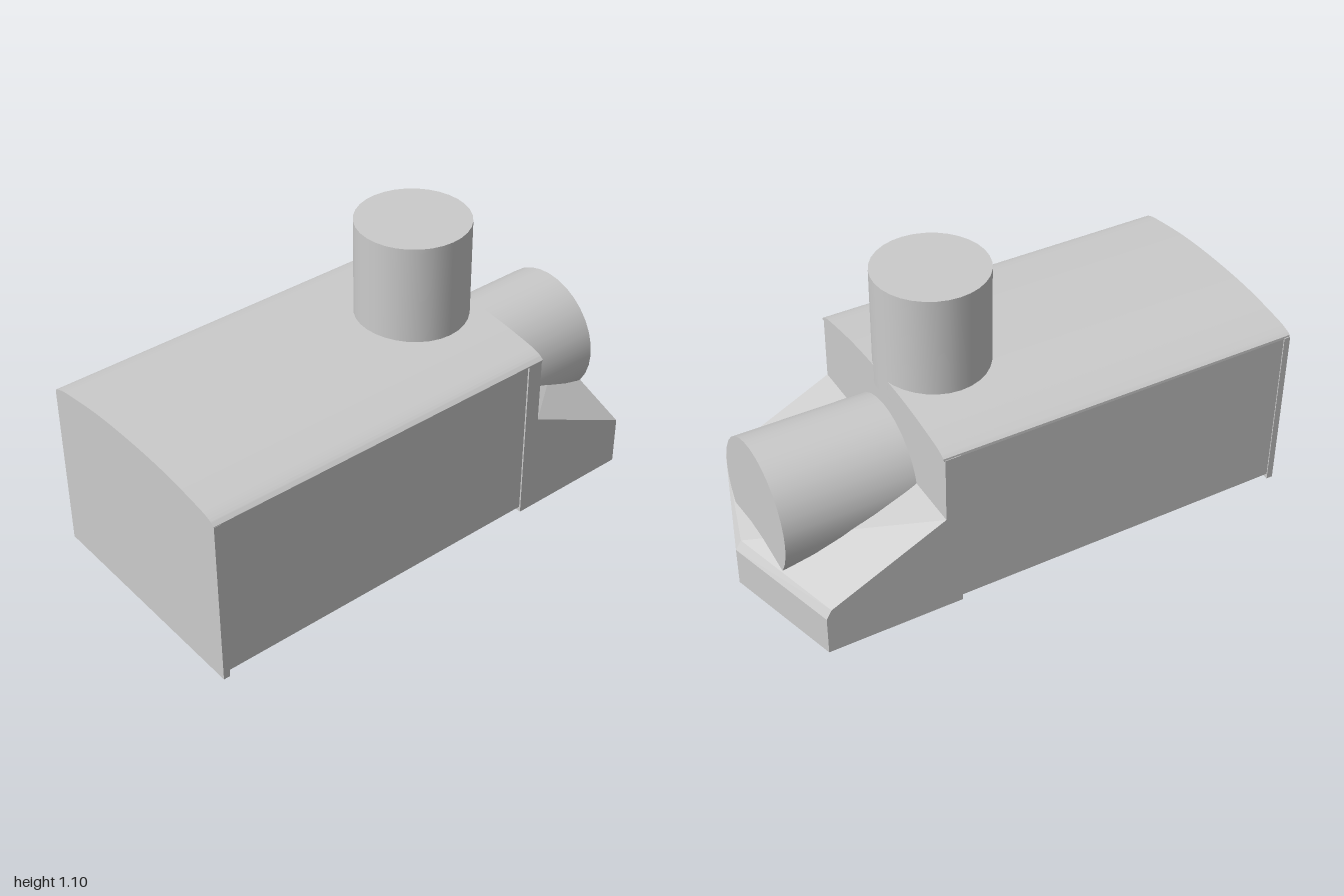
import * as THREE from 'three';
import { toCreasedNormals } from 'three/addons/utils/BufferGeometryUtils.js';
import { ConvexGeometry } from 'three/addons/geometries/ConvexGeometry.js';

const grey = new THREE.MeshStandardMaterial({ color: 0xcccccc });

export function createModel() {
  const group = new THREE.Group();
  const add = (name, geometry, x = 0, y = 0, z = 0) => {
    const mesh = new THREE.Mesh(geometry, grey);
    mesh.name = name;
    mesh.position.set(x, y, z);
    group.add(mesh);
    return mesh;
  };

  // Box given by its limits on each axis
  const block = (name, x0, x1, y0, y1, z0, z1) =>
    add(name, new THREE.BoxGeometry(x1 - x0, y1 - y0, z1 - z0),
      (x0 + x1) / 2, (y0 + y1) / 2, (z0 + z1) / 2);

  // Hull: recessed middle between a front plate and a rear slab
  block('body', -0.464, 0.459, 0.02, 0.658, -0.35, 0.975);
  block('frontPlate', -0.468, 0.466, 0, 0.658, 0.975, 1);
  block('rearSlab', -0.467, 0.465, 0, 0.658, -0.41, -0.35);

  // Bowed roof with tighter curves at its edges
  const roof = new THREE.Shape();
  roof.moveTo(-0.465, 0.655);
  roof.lineTo(-0.464, 0.665);
  roof.splineThru([[-0.44, 0.676], [-0.38, 0.69], [-0.2, 0.713], [0, 0.72],
    [0.2, 0.713], [0.38, 0.69], [0.44, 0.676], [0.465, 0.66]]
    .map(([x, y]) => new THREE.Vector2(x, y)));
  roof.lineTo(0.465, 0.655);
  roof.closePath();
  const roofGeometry = new THREE.ExtrudeGeometry(roof,
    { depth: 1.415, bevelEnabled: false, curveSegments: 32 });
  add('roof', toCreasedNormals(roofGeometry, 0.5), 0, 0, -0.415);

  // Sloping pointed nose; its edge bevel fades out toward the left side
  const nose = [
    [-0.467, 0, -0.4], [0.465, 0, -0.4], [-0.467, 0.4, -0.41], [0.465, 0.4, -0.41],
    [-0.467, 0, -0.87], [-0.467, 0.155, -0.87], [-0.467, 0.19, -0.85],
    [0, 0, -1], [0, 0.155, -1], [0, 0.19, -0.978],
    [0.465, 0, -0.84], [0.465, 0.19, -0.84],
  ];
  add('nose', new ConvexGeometry(nose.map((p) => new THREE.Vector3(...p))));

  // Upright cylinder on the roof and level cylinder over the nose
  add('stack', new THREE.CylinderGeometry(0.21, 0.21, 0.447, 32), -0.01, 0.8715, -0.213);
  const barrel = add('barrel', new THREE.CylinderGeometry(0.25, 0.25, 0.52, 32), -0.01, 0.337, -0.655);
  barrel.rotation.x = Math.PI / 2;

  return group;
}
